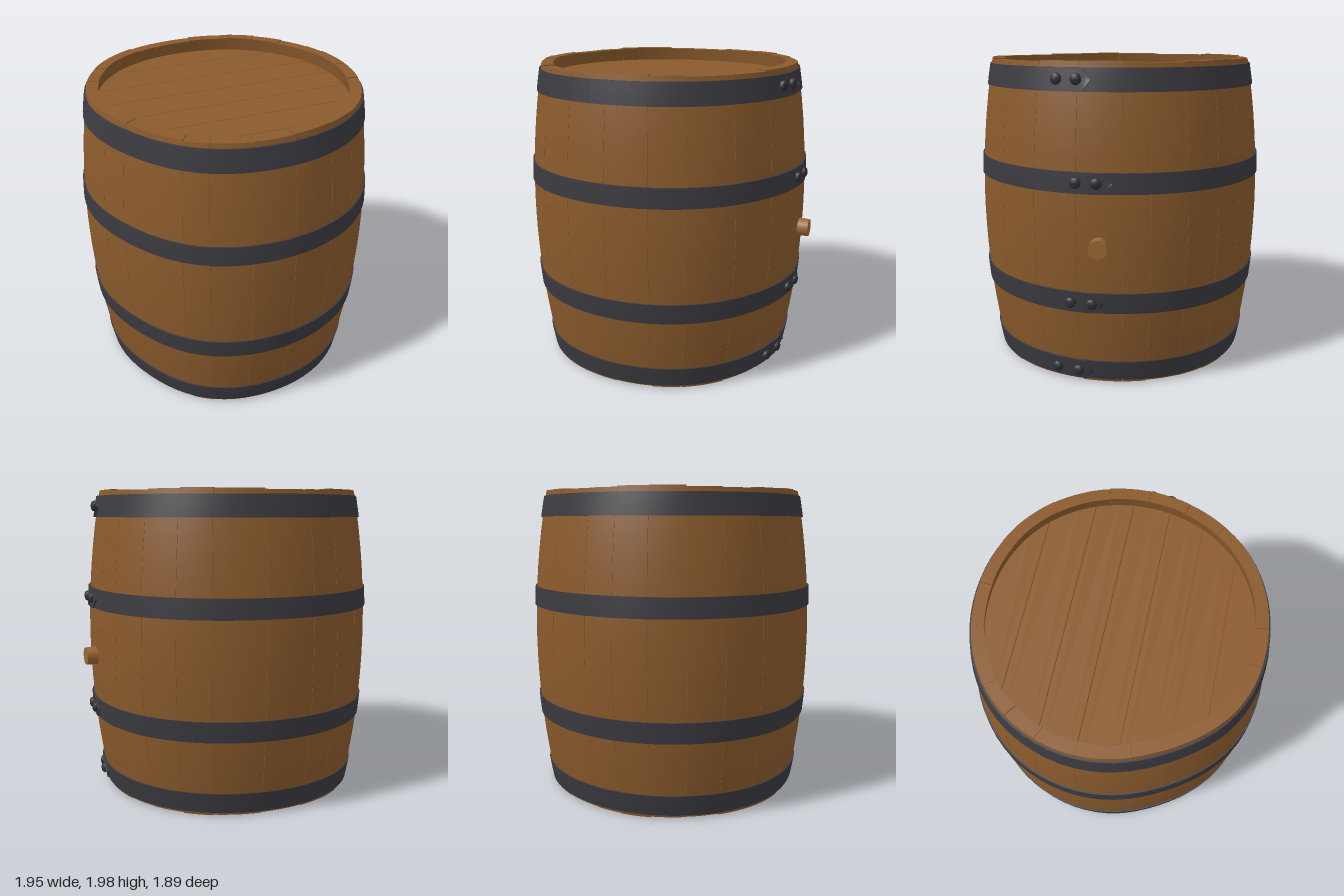
import * as THREE from 'three';

const mat = (name, color) => new THREE.MeshStandardMaterial({ name, color });
const rad = THREE.MathUtils.degToRad;

// Barrel outer radius at height y and angle a, slightly out of round
function radius(y, a) {
  const bulge = 0.014 * Math.sin(2 * a) ** 2 + 0.008 * Math.max(0, Math.sin(a)) ** 8;
  const dent = 0.04 * Math.max(0, Math.cos(a - rad(302))) ** 10;
  return 0.94 - 0.097 * (y - 1.03) ** 2 + bulge - dent;
}

// Bends a box round the barrel: angles a0..a1, heights y0..y1, offsets from the outer radius.
// The outer offset grows by rise along the way; the last stretch narrows to a point over tip.
function bend(a0, a1, y0, y1, inner, outer, segA, segY, rise = 0, tip = 0) {
  const geo = new THREE.BoxGeometry(1, 1, 1, segA, segY, 1);
  const p = geo.attributes.position;
  const mid = (y0 + y1) / 2;
  for (let i = 0; i < p.count; i++) {
    const t = p.getX(i) + 0.5;
    const a = a0 + (a1 - a0) * t;
    let y = y0 + (y1 - y0) * (p.getY(i) + 0.5);
    const r = radius(y, a) + (p.getZ(i) > 0 ? outer + rise * t : inner);
    if (tip) y = mid + (y - mid) * Math.max(0.02, Math.min(1, (a1 - a) / tip));
    p.setXYZ(i, r * Math.sin(a), y, r * Math.cos(a));
  }
  geo.computeVertexNormals();
  return geo;
}

// Board cut from a disc of radius R between z0 and z1
function boardGeometry(R, z0, z1, thick) {
  const pts = [];
  const n = 12;
  for (let s = 0; s < 2; s++) {
    for (let i = 0; i <= n; i++) {
      const t = s ? 1 - i / n : i / n;
      const z = z0 + (z1 - z0) * t;
      const x = Math.sqrt(Math.max(0.0001, R * R - z * z));
      pts.push(new THREE.Vector2(s ? -x : x, -z));
    }
  }
  const geo = new THREE.ExtrudeGeometry(new THREE.Shape(pts), { depth: thick, bevelEnabled: false });
  return geo.rotateX(-Math.PI / 2);
}

export function createModel() {
  const model = new THREE.Group();
  model.name = 'barrel';
  const wood = mat('wood', 0x8a5a2c);
  const iron = mat('iron', 0x3b3a40);
  const rivetIron = mat('rivet iron', 0x302f35);
  const bungWood = mat('bung wood', 0x9a6633);

  const barrel = new THREE.Group();
  barrel.position.x = -0.035;
  model.add(barrel);
  const add = (geo, material, name, parent = barrel) => {
    const m = new THREE.Mesh(geo, material);
    m.name = name;
    parent.add(m);
    return m;
  };

  // Staves of uneven width with slightly uneven ends; angles of the joints in degrees
  const joints = [-10, 6.5, 23, 36, 55, 72, 89, 106, 116, 130, 144, 157, 177, 196, 208, 221, 235,
    249, 265, 286, 298, 324.5, 334.5, 350];
  for (let i = 0; i < joints.length - 1; i++) {
    const top = 1.986 + 0.005 * Math.sin(i * 1.4);
    const bottom = 0.013 + 0.004 * Math.sin(i * 1.7);
    const geo = bend(rad(joints[i]) + 0.001, rad(joints[i + 1]) - 0.001, bottom, top, -0.075, 0, 6, 16);
    add(geo, wood, 'stave');
  }

  // Sunken top head and nearly flush bottom head made of boards
  const R = 0.815;
  const seams = [-R, -0.57, -0.31, -0.08, 0.15, 0.37, 0.6, R];
  for (const [name, y] of [['topBoard', 1.86], ['bottomBoard', 0.026]]) {
    for (let i = 0; i < seams.length - 1; i++) {
      add(boardGeometry(R, seams[i] + 0.0015, seams[i + 1] - 0.0015, 0.04), wood, name).position.y = y;
    }
  }

  // Hoops: y range, z of the pointed end, z of the two rivets, y of the rivets
  const hoops = [
    [1.82, 1.955, -0.07, [0.14, 0.02], 1.89],
    [1.24, 1.365, -0.2, [0.01, -0.11], 1.305],
    [0.5, 0.63, -0.15, [0.055, -0.075], 0.562],
    [0.03, 0.16, -0.07, [0.17, 0.03], 0.09],
  ];
  for (const [y0, y1, tipZ, rivets, rivetY] of hoops) {
    const hoop = new THREE.Group();
    hoop.name = 'hoop';
    barrel.add(hoop);
    add(bend(0, Math.PI * 2, y0, y1, -0.01, 0.01, 72, 2), iron, 'hoopBand', hoop);
    // Overlapping pointed end, rising gently off the band
    const r = radius(rivetY, Math.PI / 2);
    const tipA = Math.acos(tipZ / r);
    const end = bend(tipA - 0.7, tipA, y0, y1, 0, 0.008, 56, 2, 0.012, 0.065);
    add(end, iron, 'hoopEnd', hoop);
    // Rivets with domed heads
    for (const z of rivets) {
      const a = Math.acos(z / r);
      const profile = [[0.034, 0], [0.034, 0.014], [0.029, 0.023], [0.016, 0.029], [0, 0.031]];
      const geo = new THREE.LatheGeometry(profile.map(([x, y]) => new THREE.Vector2(x, y)), 14);
      geo.rotateX(Math.PI / 2);
      const rivet = add(geo, rivetIron, 'rivet', hoop);
      const d = radius(rivetY, a) + 0.013;
      rivet.position.set(d * Math.sin(a), rivetY, d * Math.cos(a));
      rivet.rotation.y = a;
    }
  }

  // Bung in the side
  const bungGeo = new THREE.CylinderGeometry(0.057, 0.06, 0.14, 20).rotateX(Math.PI / 2);
  const bung = add(bungGeo, bungWood, 'bung');
  const bungA = Math.acos(-0.125 / 0.95);
  bung.position.set(0.945 * Math.sin(bungA), 0.925, 0.945 * Math.cos(bungA));
  bung.rotation.y = bungA;

  return model;
}
